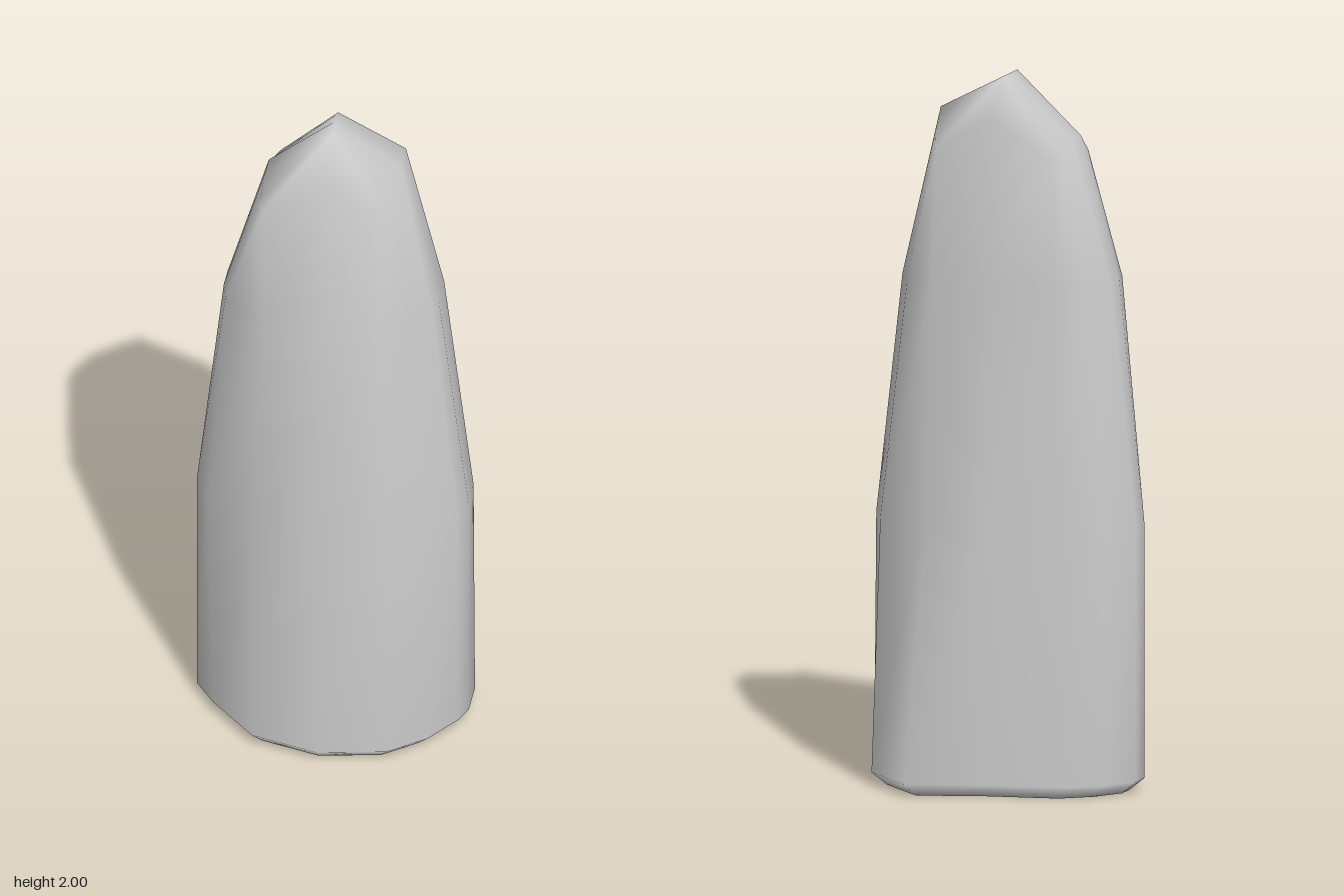
import * as THREE from 'three';

// Cross-sections as [x, z], from the front round past +x
const base = [
  [0, 0.295], [0.19, 0.258], [0.29, 0.18], [0.36, 0.08], [0.38, 0.03],
  [0.38, -0.07], [0.35, -0.165], [0.2, -0.297], [0, -0.228], [-0.23, -0.178],
  [-0.32, -0.11], [-0.38, -0.025], [-0.38, 0.04], [-0.32, 0.12], [-0.19, 0.248],
];
const middle = [
  [0, 0.25], [0.18, 0.235], [0.27, 0.155], [0.355, 0.07], [0.38, 0.03],
  [0.378, -0.06], [0.33, -0.15], [0.17, -0.215], [0, -0.2], [-0.215, -0.165],
  [-0.315, -0.09], [-0.38, -0.025], [-0.38, 0.04], [-0.335, 0.12], [-0.185, 0.23],
];
const upper = [
  [0, 0.185], [0.16, 0.165], [0.22, 0.105], [0.28, 0.05], [0.297, 0.025],
  [0.292, -0.08], [0.255, -0.135], [0.17, -0.17], [0, -0.175], [-0.195, -0.15],
  [-0.255, -0.09], [-0.305, -0.025], [-0.305, 0.04], [-0.29, 0.1], [-0.17, 0.19],
];

// Shoulder below the crest as [x, y, z]: low corners, high middle of each side
const shoulder = [
  [0, 1.86, 0.11], [0.16, 1.76, 0.1], [0.18, 1.79, 0.075], [0.19, 1.85, 0.05],
  [0.19, 1.9, 0.03], [0.19, 1.9, -0.05], [0.182, 1.85, -0.105], [0.17, 1.8, -0.14],
  [0, 1.9, -0.155], [-0.175, 1.78, -0.14], [-0.185, 1.8, -0.08], [-0.19, 1.83, -0.025],
  [-0.19, 1.83, 0.04], [-0.193, 1.78, 0.09], [-0.185, 1.75, 0.11],
];

const clamp = THREE.MathUtils.clamp;

// Lifts a section to height y; the ridge down the front has its own height
const ring = (section, y, frontY = y) =>
  section.map(([x, z], i) => [x, i === 0 ? frontY : y, z]);

function stoneGeometry() {
  const n = base.length;
  const rings = [
    base.map(([x, z]) => [x * 0.89, 0, z * 0.89]), // bevelled foot
    ring(base, 0.035),
    ring(middle, 0.75, 1.13),
    ring(upper, 1.43, 1.6),
    shoulder,
    base.map(([, z]) => [0, 2, clamp(z * 0.4, -0.05, 0.045)]), // crest
  ];
  const positions = rings.flat(2);
  const index = [];
  for (let j = 0; j < rings.length - 1; j++) {
    for (let i = 0; i < n; i++) {
      const a = j * n + i, b = j * n + ((i + 1) % n);
      index.push(a, b, b + n, a, b + n, a + n);
    }
  }
  // Underside
  const centre = positions.length / 3;
  positions.push(0, 0, 0);
  for (let i = 0; i < n; i++) index.push(centre, (i + 1) % n, i);

  const geometry = new THREE.BufferGeometry();
  geometry.setAttribute('position', new THREE.Float32BufferAttribute(positions, 3));
  geometry.setIndex(index);
  geometry.computeVertexNormals();
  // Crest points share a line, so their normals only tilt along it
  const crest = (rings.length - 1) * n;
  base.forEach(([, z], i) => {
    const v = new THREE.Vector3(0, 1, clamp(z * 3, -0.6, 0.6)).normalize();
    geometry.attributes.normal.setXYZ(crest + i, v.x, v.y, v.z);
  });
  return geometry;
}

export function createModel() {
  const group = new THREE.Group();
  group.name = 'standingStone';
  const stone = new THREE.Mesh(
    stoneGeometry(),
    new THREE.MeshStandardMaterial({ color: 0xcccccc }),
  );
  stone.name = 'stone';
  group.add(stone);
  return group;
}
